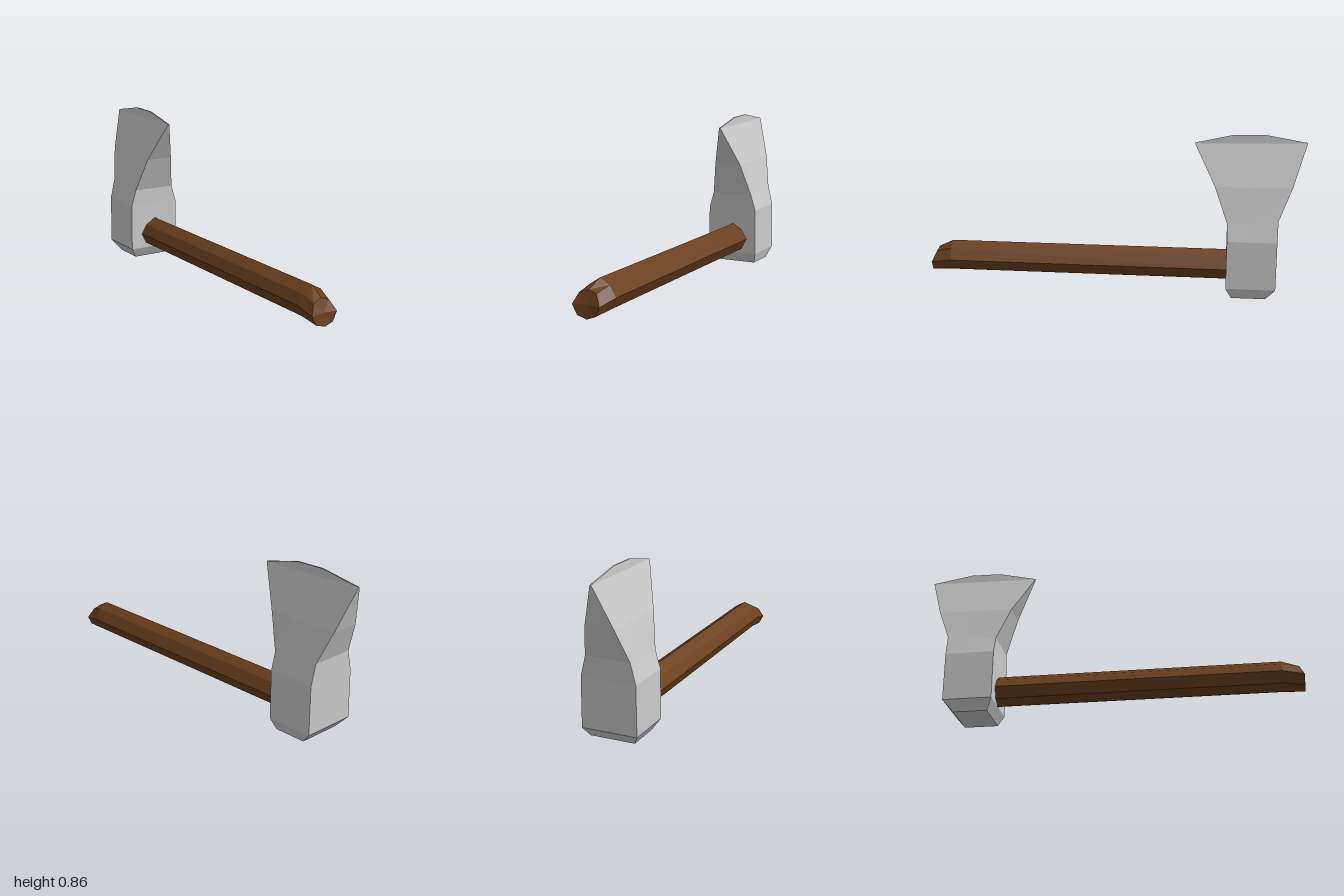
import * as THREE from 'three';

// Skin a stack of equal-length rings (counterclockwise seen from the far end) and cap both ends.
function loft(rings) {
  const pos = [];
  const tri = (a, b, c) => pos.push(...a, ...b, ...c);
  const n = rings[0].length;
  const centre = (ring) => [0, 1, 2].map((k) => ring.reduce((sum, p) => sum + p[k], 0) / n);
  const first = rings[0], last = rings[rings.length - 1];
  const c0 = centre(first), c1 = centre(last);
  for (let i = 0; i < n; i++) {
    const j = (i + 1) % n;
    for (let s = 0; s < rings.length - 1; s++) {
      const a = rings[s], b = rings[s + 1];
      tri(a[i], a[j], b[j]);
      tri(a[i], b[j], b[i]);
    }
    tri(c0, first[j], first[i]);
    tri(c1, last[i], last[j]);
  }
  const geo = new THREE.BufferGeometry();
  geo.setAttribute('position', new THREE.Float32BufferAttribute(pos, 3));
  geo.computeVertexNormals();
  return geo;
}

function part(name, geometry, color) {
  const mesh = new THREE.Mesh(geometry, new THREE.MeshStandardMaterial({ color, flatShading: true }));
  mesh.name = name;
  return mesh;
}

// Axe head: horizontal sections rising from the butt to the flared cutting edge.
function headGeometry() {
  const steps = [0, 0.35, 0.62, 1];
  // yFront, yBack, half width, zFront, zBack, x offset, arch height
  const sections = [
    [0.003, 0.003, 0.12, -0.63, -0.81, 0.01, 0],
    [0.06, 0.06, 0.148, -0.6, -0.86, 0, 0],
    [0.32, 0.32, 0.146, -0.6, -0.86, 0, 0],
    [0.41, 0.43, 0.119, -0.598, -0.862, 0, 0],
    [0.595, 0.6, 0.077, -0.53, -0.93, 0, 0],
    [0.808, 0.82, 0.004, -0.42, -1, 0, 0],
    [0.81, 0.822, 0.003, -0.42, -1, 0, 0.042],
  ];
  return loft(sections.map(([yf, yb, w, zf, zb, dx, arch]) => {
    const side = (sign) => steps.map((t, i) => [
      dx + sign * w,
      yf + (yb - yf) * t + (i === 1 || i === 2 ? arch : 0),
      zf + (zb - zf) * t,
    ]);
    return [...side(1), ...side(-1).reverse()];
  }));
}

// Eight-sided handle with a worn, slanted grip end.
function handleGeometry() {
  const body = [[0.005, 0.232], [-0.05, 0.196], [-0.082, 0.145], [-0.055, 0.088],
    [-0.005, 0.06], [0.06, 0.085], [0.092, 0.145], [0.057, 0.202]];
  const end = [[-0.005, 0.192, 0.97], [-0.055, 0.175, 0.977], [-0.08, 0.123, 1], [-0.053, 0.073, 1],
    [0, 0.058, 1], [0.045, 0.075, 1], [0.068, 0.123, 1], [0.038, 0.178, 0.975]];
  const ring = (z) => body.map(([x, y]) => [x, y, z]);
  return loft([ring(-0.7), ring(0.89), end]);
}

export function createModel() {
  const axe = new THREE.Group();
  axe.name = 'axe';
  axe.add(part('axeHead', headGeometry(), 0xcccccc));
  axe.add(part('handle', handleGeometry(), 0x6b3f1d));
  return axe;
}
